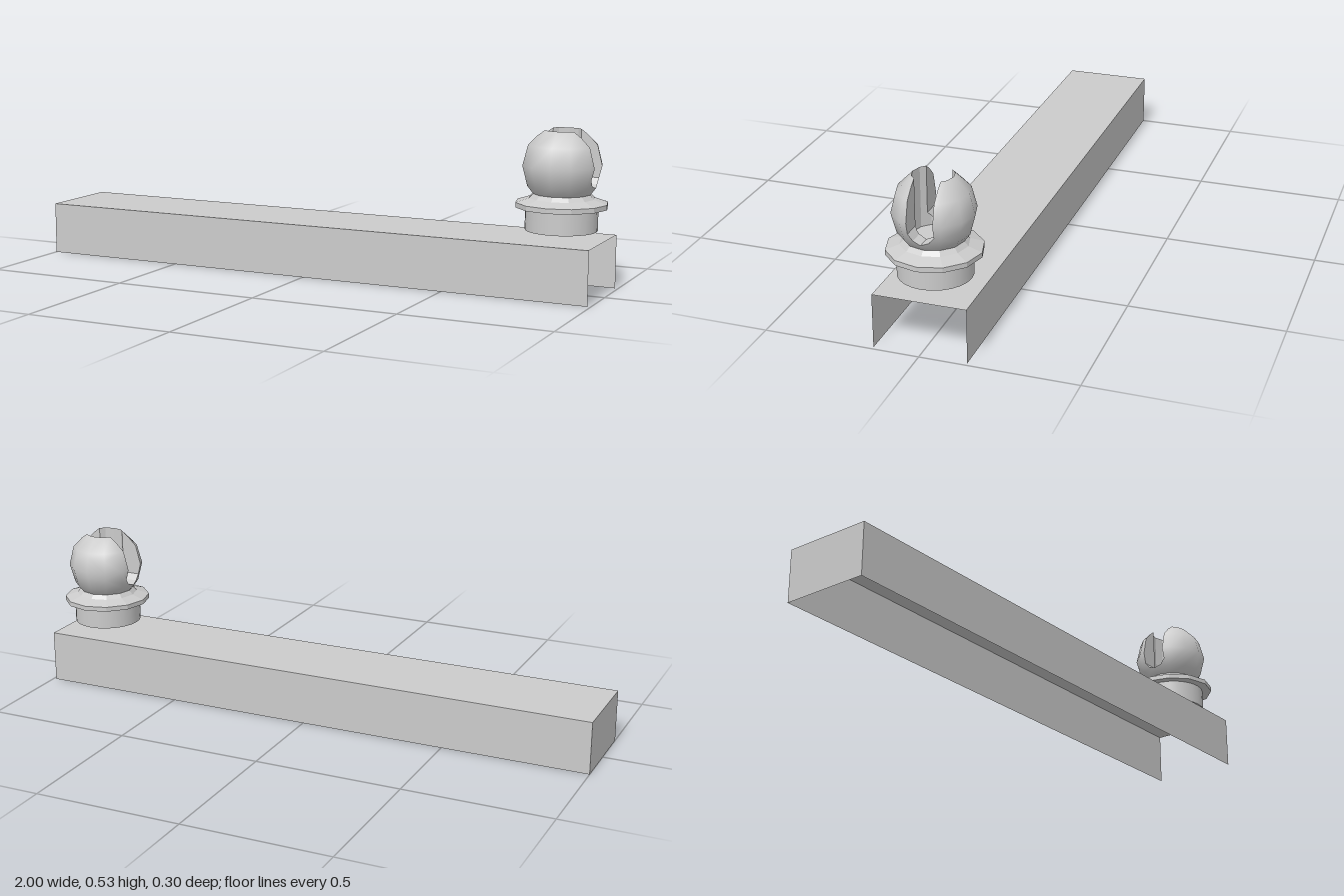
import * as THREE from 'three';

const V = (x, y, z) => new THREE.Vector3(x, y, z);
const SIDES = 12;
const grey = new THREE.MeshStandardMaterial({ color: 0xcccccc, side: THREE.DoubleSide });

// A convex body: flat facets turned outward from an inner point, with their planes
function convex(facets, centre) {
  const planes = facets.map(f => {
    const p = new THREE.Plane().setFromCoplanarPoints(f[0], f[1], f[2]);
    if (p.distanceToPoint(centre) > 0) { f.reverse(); p.negate(); }
    return p;
  });
  return { facets, planes };
}

// Split a polygon by a plane into [behind, in front]
function split(poly, plane) {
  const back = [], front = [], E = 1e-6;
  poly.forEach((a, i) => {
    const b = poly[(i + 1) % poly.length];
    const da = plane.distanceToPoint(a), db = plane.distanceToPoint(b);
    if (da <= E) back.push(a);
    if (da >= -E) front.push(a);
    if ((da > E && db < -E) || (da < -E && db > E)) {
      const m = a.clone().lerp(b, da / (da - db));
      back.push(m); front.push(m);
    }
  });
  const solid = (p, s) => p.length > 2 && p.some(v => s * plane.distanceToPoint(v) > E);
  return [solid(back, -1) ? back : null, solid(front, 1) ? front : null];
}

// Keep the parts of the polygons outside (or inside) a convex body
function cut(polys, body, keepInside) {
  const kept = [];
  for (let rest of polys) {
    for (const plane of body.planes) {
      if (!rest) break;
      const [back, front] = split(rest, plane);
      if (front && !keepInside) kept.push(front);
      rest = back;
    }
    if (rest && keepInside) kept.push(rest);
  }
  return kept;
}

// Triangulate polygons; normalAt gives smooth normals
function polyMesh(name, polys, normalAt) {
  const pos = [], nor = [];
  for (const p of polys)
    for (let i = 1; i < p.length - 1; i++)
      for (const v of [p[0], p[i], p[i + 1]]) {
        pos.push(v.x, v.y, v.z);
        if (normalAt) nor.push(...normalAt(v).normalize().toArray());
      }
  const g = new THREE.BufferGeometry();
  g.setAttribute('position', new THREE.Float32BufferAttribute(pos, 3));
  if (normalAt) g.setAttribute('normal', new THREE.Float32BufferAttribute(nor, 3));
  else g.computeVertexNormals();
  return named(name, g);
}

function named(name, geometry) {
  const m = new THREE.Mesh(geometry, grey);
  m.name = name;
  return m;
}

// Side facets between stacked rings given as [radius, y]
function ringFacets(profile) {
  const at = ([r, y], i) => {
    const a = i / SIDES * Math.PI * 2;
    return V(r * Math.cos(a), y, r * Math.sin(a));
  };
  const out = [];
  for (let k = 0; k < profile.length - 1; k++)
    for (let i = 0; i < SIDES; i++)
      out.push([at(profile[k], i), at(profile[k], i + 1), at(profile[k + 1], i + 1), at(profile[k + 1], i)]);
  return out;
}
const ringCap = ([r, y]) => Array.from({ length: SIDES }, (_, i) =>
  V(r * Math.cos(i / SIDES * Math.PI * 2), y, r * Math.sin(i / SIDES * Math.PI * 2)));

function ballSocket() {
  const group = new THREE.Group();
  group.name = 'slottedBall';
  const profile = [[0.093, 0.325], [0.112, 0.35], [0.129, 0.415], [0.112, 0.481], [0.0645, 0.529]];
  const centre = V(0, 0.415, 0);
  const skin = ringFacets(profile);
  const ball = convex([...skin, ringCap(profile[0]), ringCap(profile[4])], centre);

  // Slot with a rounded bottom, running along x
  const half = [[0.041, 0.6], [0.041, 0.377], [0.025, 0.357], [0, 0.348]];
  const section = [...half, ...half.slice(0, 3).reverse().map(([z, y]) => [-z, y])];
  const slot = convex(section.slice(1).map(([z, y], i) => {
    const [z0, y0] = section[i];
    return [V(-0.3, y0, z0), V(0.3, y0, z0), V(0.3, y, z), V(-0.3, y, z)];
  }), V(0, 0.45, 0));

  // Round bore down the middle
  const boreRings = [[0.0645, 0.335], [0.0645, 0.6]];
  const bore = convex([...ringFacets(boreRings), ringCap(boreRings[0])], V(0, 0.45, 0));

  const flip = polys => polys.map(p => [...p].reverse());
  group.add(
    polyMesh('ballShell', cut(skin, slot, false), v => v.clone().sub(centre)),
    polyMesh('slotWalls', flip(cut(cut(slot.facets, ball, true), bore, false))),
    polyMesh('boreWalls', flip(cut(cut(bore.facets, ball, true), slot, false)))
  );
  // Bore floor below the slot
  const floor = named('boreFloor', new THREE.CircleGeometry(0.0645, SIDES));
  floor.rotation.x = -Math.PI / 2;
  floor.position.y = 0.335;
  group.add(floor);
  return group;
}

export function createModel() {
  const model = new THREE.Group();

  // Thin channel, open below and at the +x end
  const channel = new THREE.Group();
  channel.name = 'channel';
  const L = 1.99, H = 0.177, W = 0.298, cx = -0.005;
  const panel = (name, w, h, x, y, z, rx, ry) => {
    const m = named(name, new THREE.PlaneGeometry(w, h));
    m.position.set(x, y, z);
    m.rotation.set(rx, ry, 0);
    channel.add(m);
  };
  panel('channelTop', L, W, cx, H, 0, -Math.PI / 2, 0);
  panel('channelFront', L, H, cx, H / 2, W / 2, 0, 0);
  panel('channelBack', L, H, cx, H / 2, -W / 2, 0, Math.PI);
  panel('channelEnd', W, H, -1, H / 2, 0, 0, -Math.PI / 2);
  model.add(channel);

  // Knob: stem, flange and slotted ball
  const knob = new THREE.Group();
  knob.name = 'knob';
  knob.position.x = 0.851;
  const stem = named('stem', new THREE.CylinderGeometry(0.116, 0.116, 0.074, 24));
  stem.position.y = 0.244;
  knob.add(stem);
  const flangeProfile = [[0, 0.281], [0.149, 0.281], [0.149, 0.297], [0.106, 0.311], [0.093, 0.325], [0, 0.325]];
  const flange = new THREE.LatheGeometry(flangeProfile.map(p => new THREE.Vector2(...p)), SIDES).toNonIndexed();
  flange.computeVertexNormals();
  knob.add(named('flange', flange), ballSocket());
  model.add(knob);
  return model;
}
